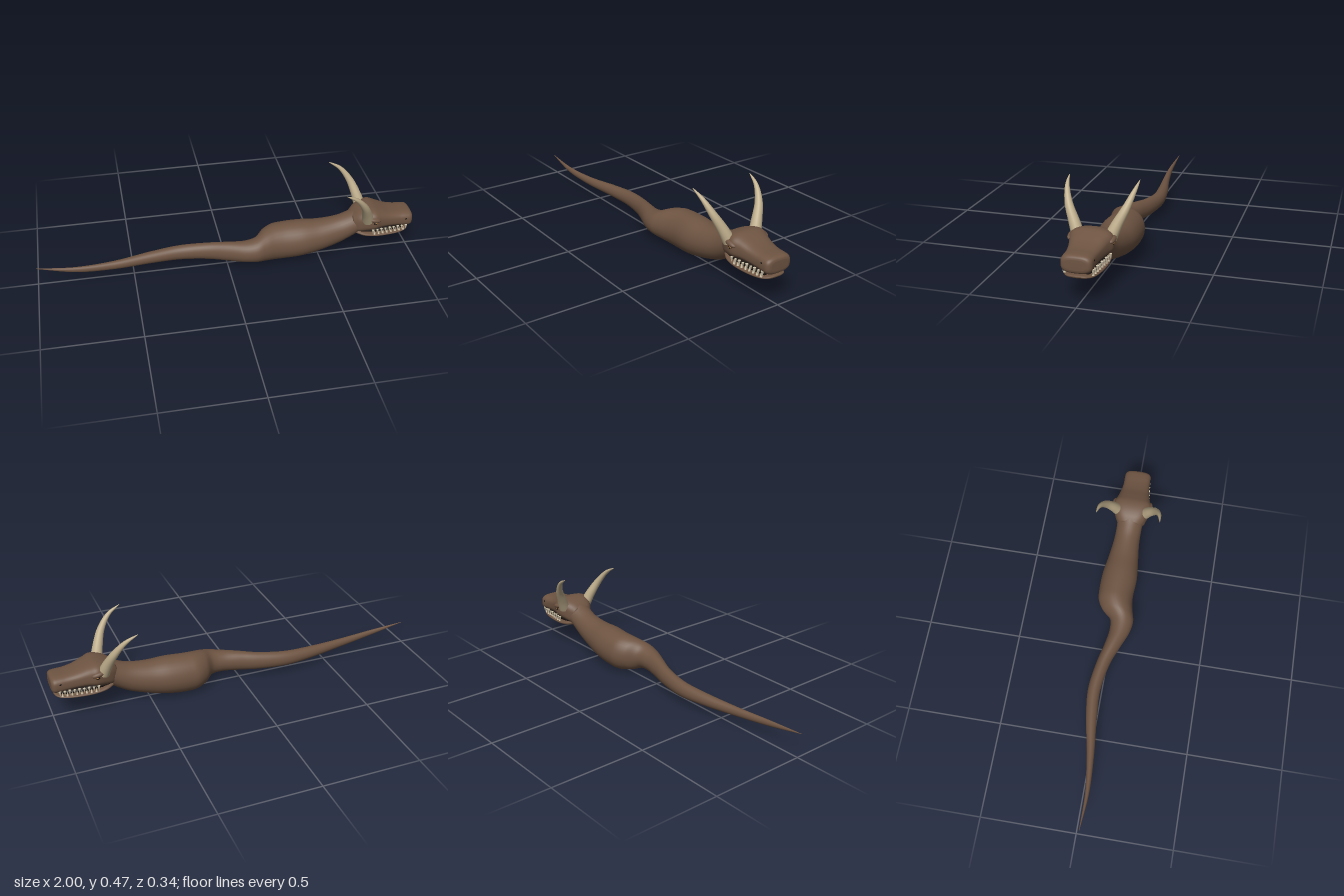
import * as THREE from 'three';

const material = (name, color) => {
  const m = new THREE.MeshStandardMaterial({ color });
  m.name = name;
  return m;
};

// Skin through cross-sections [x, bottom, top, zMin, zMax], smoothed along x
function loft(sections, power, steps, sides = 32) {
  const low = new THREE.CatmullRomCurve3(sections.map(s => new THREE.Vector3(s[0], s[1], s[3])), false, 'centripetal');
  const high = new THREE.CatmullRomCurve3(sections.map(s => new THREE.Vector3(s[0], s[2], s[4])), false, 'centripetal');
  const pos = [], index = [];
  const bend = v => Math.sign(v) * Math.abs(v) ** (2 / power);
  for (let i = 0; i <= steps; i++) {
    const a = low.getPoint(i / steps), b = high.getPoint(i / steps);
    for (let j = 0; j < sides; j++) {
      const t = j / sides * Math.PI * 2;
      const cy = bend(Math.cos(t)), cz = bend(Math.sin(t));
      pos.push((a.x + b.x) / 2, (a.y + b.y) / 2 + cy * (b.y - a.y) / 2, (a.z + b.z) / 2 + cz * (b.z - a.z) / 2);
      if (i < steps) {
        const p = i * sides + j, q = i * sides + (j + 1) % sides;
        index.push(p, q, p + sides, q, q + sides, p + sides);
      }
    }
  }
  // End caps
  for (const [row, flip] of [[0, true], [steps, false]]) {
    const first = row * sides, c = pos.length / 3, mid = [0, 0, 0];
    for (let j = 0; j < sides; j++) for (let k = 0; k < 3; k++) mid[k] += pos[(first + j) * 3 + k] / sides;
    pos.push(...mid);
    for (let j = 0; j < sides; j++) {
      const p = first + j, q = first + (j + 1) % sides;
      index.push(c, flip ? q : p, flip ? p : q);
    }
  }
  const g = new THREE.BufferGeometry();
  g.setAttribute('position', new THREE.Float32BufferAttribute(pos, 3));
  g.setIndex(index);
  g.computeVertexNormals();
  return g;
}

// Curved horn: a tube tapered towards its tip
function hornGeometry(side) {
  const curve = new THREE.CatmullRomCurve3([
    [0.742, 0.235, 0.076], [0.725, 0.29, 0.1], [0.695, 0.36, 0.134],
    [0.645, 0.425, 0.158], [0.58, 0.465, 0.169],
  ].map(([x, y, z]) => new THREE.Vector3(x, y, z * side)));
  const n = 24, r = 16;
  const g = new THREE.TubeGeometry(curve, n, 0.031, r, false);
  const p = g.attributes.position, v = new THREE.Vector3();
  for (let i = 0; i <= n; i++) {
    const c = curve.getPointAt(i / n), k = (1 - i / n) ** 0.75;
    for (let j = 0; j <= r; j++) {
      const id = i * (r + 1) + j;
      v.fromBufferAttribute(p, id).sub(c).multiplyScalar(k).add(c);
      p.setXYZ(id, v.x, v.y, v.z);
    }
  }
  return g;
}

export function createModel() {
  const hide = material('brown hide', 0x6e5442);
  const horn = material('horn', 0xbfae8c);
  const ivory = material('tooth ivory', 0xcfc4aa);
  const dark = material('dark mouth', 0x1d1613);
  const amber = material('amber eye', 0xa8743a);

  const model = new THREE.Group();
  const add = (name, geometry, mat, parent = model) => {
    const m = new THREE.Mesh(geometry, mat);
    m.name = name;
    parent.add(m);
    return m;
  };

  // Tail, belly and neck in one skin
  add('body', loft([
    [-1, 0.114, 0.116, 0.017, 0.019], [-0.8, 0.07, 0.1, 0.012, 0.034],
    [-0.6, 0.049, 0.096, -0.015, 0.024], [-0.4, 0.04, 0.106, -0.055, 0.004],
    [-0.25, 0.035, 0.116, -0.07, -0.003], [-0.1, 0.034, 0.13, -0.05, 0.022],
    [0, 0.034, 0.143, -0.026, 0.06], [0.09, 0.034, 0.153, -0.012, 0.097],
    [0.15, 0.03, 0.167, -0.02, 0.107], [0.2, 0.014, 0.188, -0.072, 0.097],
    [0.25, 0.003, 0.2, -0.1, 0.086], [0.3, 0, 0.204, -0.106, 0.083],
    [0.4, 0.008, 0.208, -0.104, 0.088], [0.5, 0.029, 0.206, -0.088, 0.078],
    [0.6, 0.062, 0.219, -0.074, 0.068], [0.66, 0.095, 0.24, -0.07, 0.068],
    [0.72, 0.135, 0.268, -0.07, 0.07], [0.76, 0.16, 0.26, -0.06, 0.06],
  ], 2, 110), hide);

  const head = new THREE.Group();
  head.name = 'head';
  model.add(head);
  const even = rows => rows.map(([x, b, t, w]) => [x, b, t, -w, w]);

  // Skull and snout
  add('upperHead', loft(even([
    [0.67, 0.14, 0.24, 0.055], [0.7, 0.145, 0.264, 0.078], [0.74, 0.155, 0.28, 0.096],
    [0.78, 0.162, 0.284, 0.104], [0.82, 0.165, 0.272, 0.091], [0.87, 0.164, 0.254, 0.079],
    [0.92, 0.16, 0.245, 0.073], [0.96, 0.156, 0.243, 0.073], [0.985, 0.156, 0.24, 0.071],
    [0.996, 0.163, 0.233, 0.062], [1, 0.175, 0.222, 0.048],
  ]), 3, 50, 40), hide, head);

  // Broad, shallow lower jaw
  add('lowerJaw', loft(even([
    [0.69, 0.135, 0.165, 0.06], [0.73, 0.125, 0.156, 0.08], [0.79, 0.119, 0.146, 0.086],
    [0.86, 0.119, 0.144, 0.084], [0.92, 0.122, 0.144, 0.077], [0.96, 0.126, 0.145, 0.064],
    [0.98, 0.131, 0.146, 0.045], [0.988, 0.137, 0.144, 0.022],
  ]), 2.4, 36), hide, head);

  add('mouthInside', loft(even([
    [0.71, 0.14, 0.17, 0.06], [0.8, 0.138, 0.172, 0.07], [0.9, 0.138, 0.166, 0.064], [0.955, 0.138, 0.162, 0.05],
  ]), 3, 12, 20), dark, head);

  const tooth = new THREE.ConeGeometry(0.0075, 0.03, 8);
  const jawWidth = x => 0.092 - Math.max(0, x - 0.77) * 0.1;
  for (const side of [1, -1]) {
    const name = side > 0 ? 'left' : 'right';
    add(name + 'Horn', hornGeometry(side), horn, head);

    // Brow ridge
    const brow = add(name + 'Brow', new THREE.SphereGeometry(1, 20, 12), hide, head);
    brow.scale.set(0.034, 0.013, 0.016);
    brow.position.set(0.775, 0.242, 0.096 * side);
    brow.rotation.z = -0.2;

    // Eye, pupil and nostril
    const spot = (part, mat, r, x, y, z) => {
      const s = add(name + part, new THREE.SphereGeometry(1, 16, 10), mat, head);
      s.scale.set(r, r * 0.8, r * 0.6);
      s.position.set(x, y, z * side);
    };
    spot('EyeSocket', dark, 0.012, 0.778, 0.226, 0.1);
    spot('Eye', amber, 0.0075, 0.78, 0.226, 0.104);
    spot('Pupil', dark, 0.0035, 0.781, 0.226, 0.1075);
    spot('Nostril', dark, 0.007, 0.957, 0.212, 0.07);

    // Upper teeth along the lip
    for (let i = 0; i < 9; i++) {
      const x = 0.775 + i * 0.0235;
      const t = add(name + 'UpperTooth', tooth, ivory, head);
      t.position.set(x, 0.158, (jawWidth(x) - 0.005) * side);
      t.rotation.x = Math.PI;
      if (i % 2) t.scale.setScalar(0.85);
    }
    // Lower teeth in the gaps
    for (let i = 0; i < 8; i++) {
      const x = 0.787 + i * 0.0235;
      const t = add(name + 'LowerTooth', tooth, ivory, head);
      t.position.set(x, 0.152, (jawWidth(x) - 0.009) * side);
      t.scale.setScalar(0.8);
    }
  }
  return model;
}
